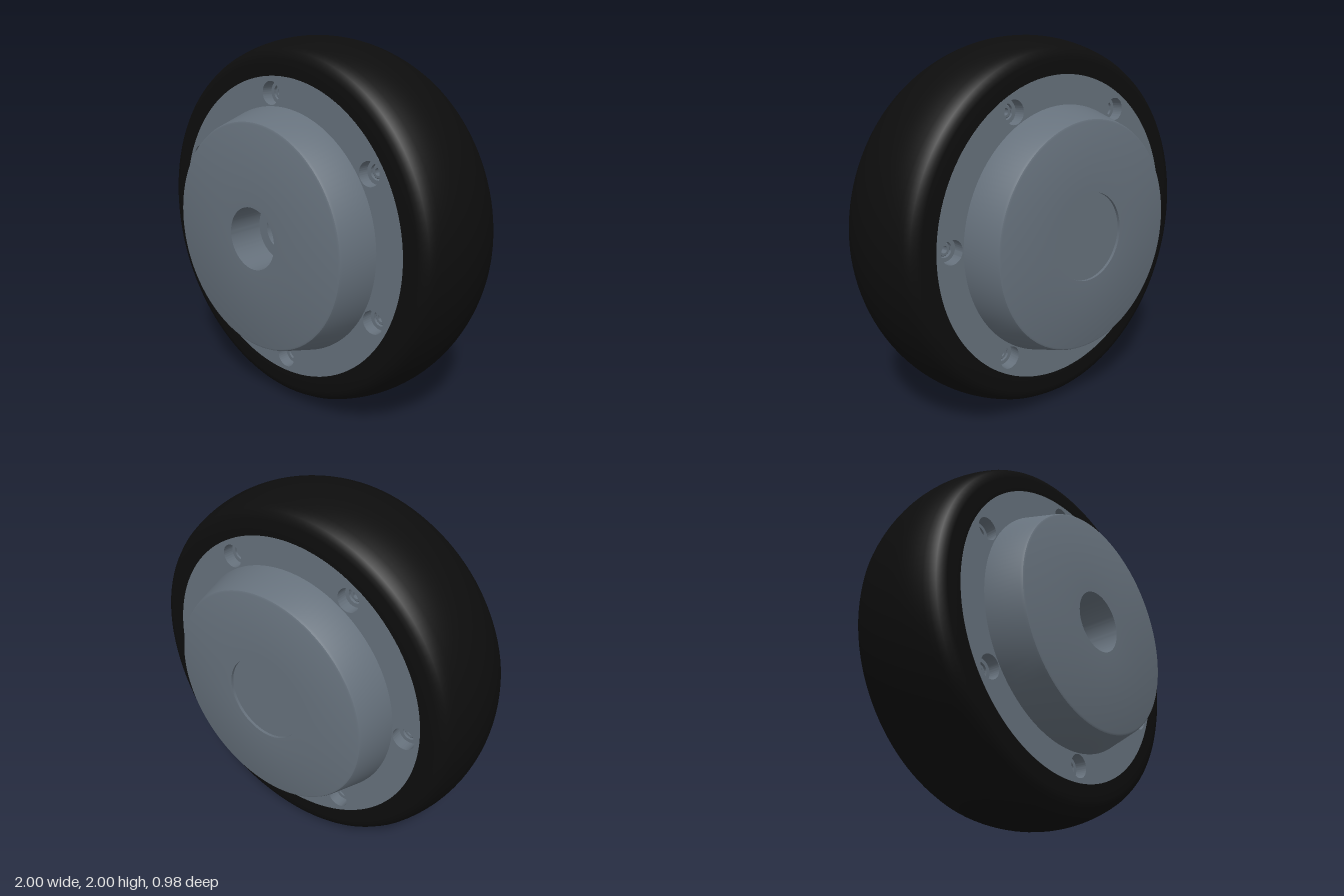
import * as THREE from 'three';
import { toCreasedNormals } from 'three/addons/utils/BufferGeometryUtils.js';

const rubber = new THREE.MeshStandardMaterial({ color: 0x0d0d0d });
rubber.name = 'black rubber';
const metal = new THREE.MeshStandardMaterial({ color: 0x66717c });
metal.name = 'blue grey metal';

const CREASE = 0.5;

// Solid of revolution around z; points are [radius, z], z rising on outer walls
function turned(name, points, material, segments = 128) {
  const profile = points.map(([r, z]) => new THREE.Vector2(r, z));
  const geometry = new THREE.LatheGeometry(profile, segments).rotateX(Math.PI / 2);
  const mesh = new THREE.Mesh(toCreasedNormals(geometry, CREASE), material);
  mesh.name = name;
  return mesh;
}

// Tyre: flat sidewalls, rounded shoulders and a crowned tread
function makeTyre() {
  const points = [[0.8, -0.3], [0.885, -0.3], [0.908, -0.295], [0.932, -0.279]];
  for (let i = 0; i <= 20; i++) {
    const z = -0.25 + i * 0.025;
    points.push([0.35 + Math.sqrt(0.4225 - z * z), z]);
  }
  points.push([0.932, 0.279], [0.908, 0.295], [0.885, 0.3], [0.8, 0.3]);
  return turned('tyre', points, rubber);
}

// Hub: tapered both ways, shallow recess behind, stepped bore in front
function makeHub() {
  return turned('hub', [
    [0, -0.475], [0.23, -0.475], [0.23, -0.49],
    [0.585, -0.49], [0.594, -0.486], [0.6, -0.475], [0.655, -0.3],
    [0.655, 0.3], [0.6, 0.475], [0.594, 0.486], [0.585, 0.49],
    [0.165, 0.49], [0.165, 0.29], [0.105, 0.29], [0.105, -0.05], [0, -0.05],
  ], metal);
}

// Slim sleeve at the bottom of the bore, with two small keys
function makeBoreSleeve() {
  const group = new THREE.Group();
  group.name = 'boreSleeve';
  group.add(turned('sleeve', [
    [0.098, -0.05], [0.098, 0], [0.08, 0], [0.08, -0.05],
  ], metal, 64));
  for (const side of [-1, 1]) {
    const key = new THREE.Mesh(new THREE.BoxGeometry(0.022, 0.022, 0.05), metal);
    key.name = 'sleeveKey';
    key.position.set(0, side * 0.082, -0.025);
    group.add(key);
  }
  return group;
}

// Rim plate facing +z, with six counterbored bolt holes
function makeRim(name, startDegrees) {
  const group = new THREE.Group();
  group.name = name;
  const shape = new THREE.Shape().absarc(0, 0, 0.805, 0, Math.PI * 2, false);
  shape.holes.push(new THREE.Path().absarc(0, 0, 0.645, 0, Math.PI * 2, true));
  for (let i = 0; i < 6; i++) {
    const angle = THREE.MathUtils.degToRad(startDegrees + i * 60);
    const x = 0.72 * Math.cos(angle), y = 0.72 * Math.sin(angle);
    shape.holes.push(new THREE.Path().absarc(x, y, 0.06, 0, Math.PI * 2, true));
    // Stepped seat with a socket-headed bolt inside
    const bolt = turned('bolt', [
      [0.061, 0.24], [0.04, 0.24], [0.04, 0.2], [0.034, 0.2],
      [0.034, 0.232], [0.03, 0.236], [0.018, 0.236], [0.018, 0.2], [0, 0.2],
    ], metal, 32);
    bolt.position.set(x, y, 0);
    group.add(bolt);
  }
  const geometry = new THREE.ExtrudeGeometry(shape, {
    depth: 0.15, bevelEnabled: false, curveSegments: 64,
  }).translate(0, 0, 0.151);
  const plate = new THREE.Mesh(toCreasedNormals(geometry, CREASE), metal);
  plate.name = 'rimPlate';
  group.add(plate);
  return group;
}

export function createModel() {
  const model = new THREE.Group();
  model.name = 'wheel';
  const backRim = makeRim('backRim', 58.3);
  backRim.rotation.y = Math.PI;
  model.add(makeTyre(), makeHub(), makeBoreSleeve(), makeRim('frontRim', 33.3), backRim);
  model.children.forEach((part) => { part.position.y = 1; });
  return model;
}
